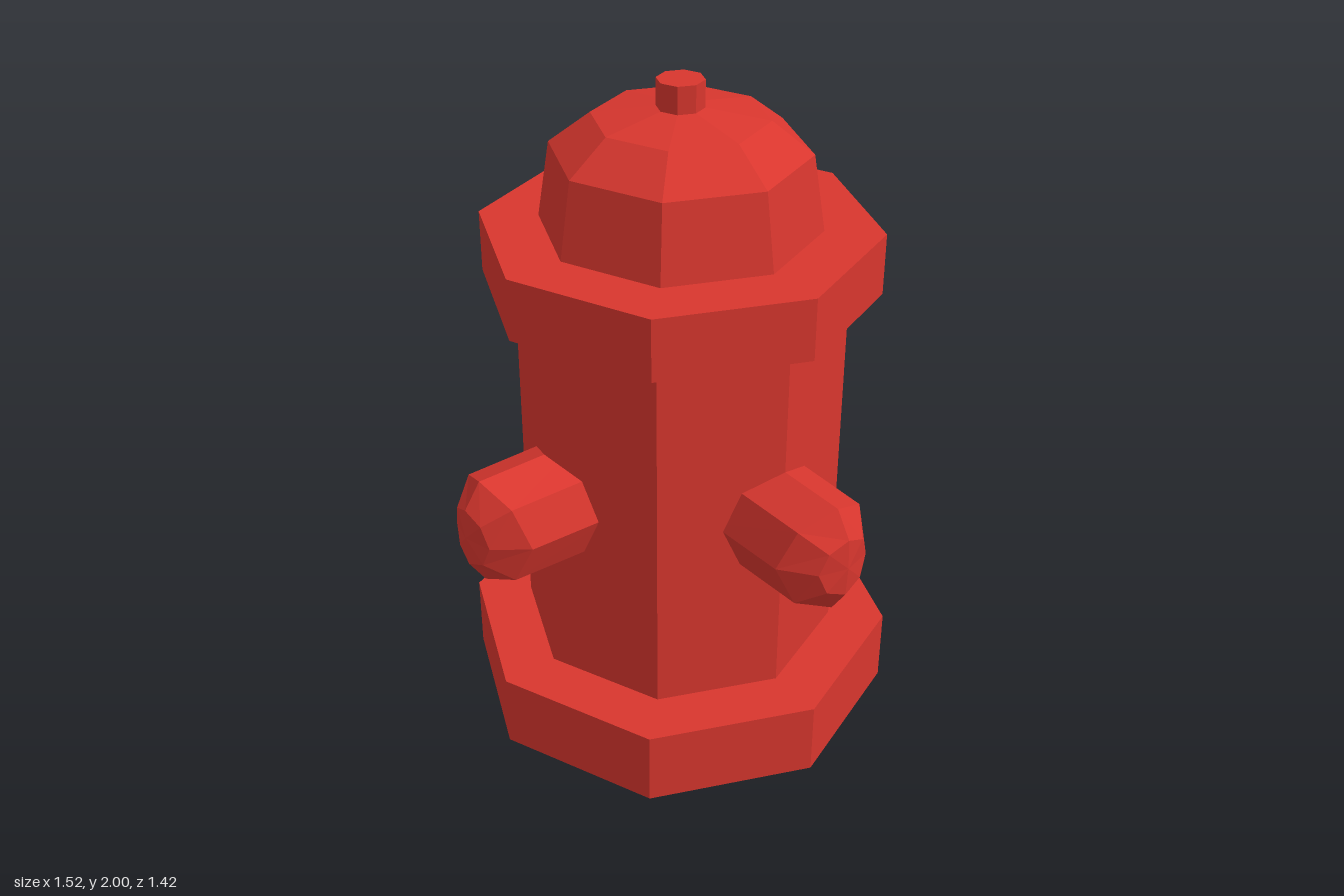
import * as THREE from 'three';

const SIDES = 8;

// Unshared vertices give every facet its own normal
function faceted(geometry) {
  const g = geometry.toNonIndexed();
  g.computeVertexNormals();
  return g;
}

// Eight-sided solid turned from [radius, height] pairs, bottom to top
function turned(profile) {
  return new THREE.LatheGeometry(profile.map(([r, y]) => new THREE.Vector2(r, y)), SIDES);
}

// Eight-sided upright prism between two heights
function prism(radius, y0, y1) {
  return new THREE.CylinderGeometry(radius, radius, y1 - y0, SIDES).translate(0, (y0 + y1) / 2, 0);
}

// Outlet pointing along +z, with a cap that curves back towards its sides
function outletGeometry() {
  const g = turned([[0, 0.36], [0.175, 0.36], [0.169, 0.704], [0.092, 0.755], [0, 0.76]]);
  g.rotateX(Math.PI / 2);
  g.scale(0.95, 1, 1);
  const p = g.attributes.position;
  for (let i = 0; i < p.count; i++) {
    const x = p.getX(i), z = p.getZ(i);
    if (z > 0.5) p.setZ(i, z - 2.5 * x * x);
  }
  return g.translate(0, 0.815, 0);
}

export function createModel() {
  const model = new THREE.Group();
  model.name = 'fireHydrant';

  const red = new THREE.MeshStandardMaterial({ color: 0xd8362e, flatShading: true });
  red.name = 'hydrant red';

  const hydrant = new THREE.Group();
  hydrant.name = 'hydrant';
  hydrant.position.set(-0.003, 0, -0.05);
  hydrant.rotation.y = 0.022;
  model.add(hydrant);

  function add(name, geometry, turn = 0) {
    const mesh = new THREE.Mesh(faceted(geometry), red);
    mesh.name = name;
    mesh.rotation.y = turn;
    hydrant.add(mesh);
  }

  // Stacked barrel
  add('base', prism(0.66, 0, 0.235));
  add('barrel', prism(0.486, 0.2, 1.42));
  add('collar', prism(0.58, 1.39, 1.575));

  // Domed bonnet and its nut
  add('bonnet', turned([[0.407, 1.57], [0.37, 1.8], [0.25, 1.892], [0.06, 1.922], [0, 1.922]]));
  add('topNut', prism(0.068, 1.88, 2));

  // Three outlets around the barrel
  add('frontOutlet', outletGeometry());
  add('leftOutlet', outletGeometry(), Math.PI / 2);
  add('rightOutlet', outletGeometry(), -Math.PI / 2);

  return model;
}
